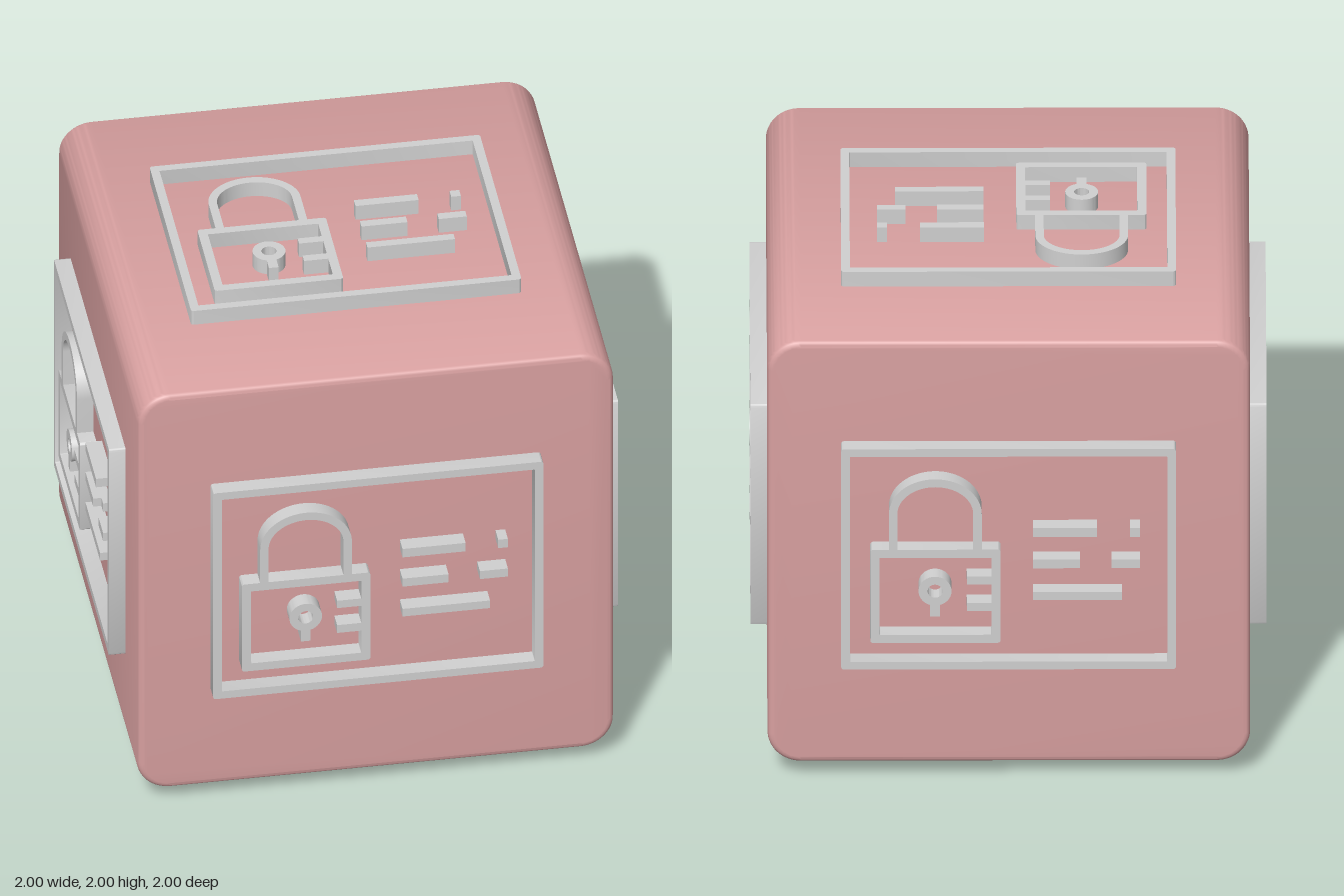
import * as THREE from 'three';
import { toCreasedNormals } from 'three/addons/utils/BufferGeometryUtils.js';

const HALF = 0.935; // half width of the cube body
const BASE = 0.925; // emblems start slightly inside the body
const DEPTH = 1 - BASE;

// Rounded rectangle outline, for a Shape or a Path
function roundedRect(path, x0, y0, x1, y1, r) {
  path.moveTo(x0 + r, y0);
  path.lineTo(x1 - r, y0);
  path.absarc(x1 - r, y0 + r, r, -Math.PI / 2, 0, false);
  path.lineTo(x1, y1 - r);
  path.absarc(x1 - r, y1 - r, r, 0, Math.PI / 2, false);
  path.lineTo(x0 + r, y1);
  path.absarc(x0 + r, y1 - r, r, Math.PI / 2, Math.PI, false);
  path.lineTo(x0, y0 + r);
  path.absarc(x0 + r, y0 + r, r, Math.PI, Math.PI * 1.5, false);
  return path;
}

// Raised plate reaching from the body to the outer emblem level
function raise(shape, curveSegments) {
  const geo = new THREE.ExtrudeGeometry(shape, { depth: DEPTH, bevelEnabled: false, curveSegments });
  geo.translate(0, 0, BASE);
  return toCreasedNormals(geo, 0.6);
}

function border(x0, y0, x1, y1, w) {
  const shape = roundedRect(new THREE.Shape(), x0, y0, x1, y1, 0.012);
  shape.holes.push(roundedRect(new THREE.Path(), x0 + w, y0 + w, x1 - w, y1 - w, 0.003));
  return raise(shape, 4);
}

function bar(x0, y0, x1, y1) {
  const geo = new THREE.BoxGeometry(x1 - x0, y1 - y0, DEPTH);
  return geo.translate((x0 + x1) / 2, (y0 + y1) / 2, BASE + DEPTH / 2);
}

// Arch with straight legs and an elliptical crown
function shackleGeometry() {
  const cx = -0.285, foot = 0.03, spring = 0.206;
  const s = new THREE.Shape();
  s.moveTo(cx + 0.18, foot);
  s.lineTo(cx + 0.18, spring);
  s.absellipse(cx, spring, 0.18, 0.155, 0, Math.PI, false, 0);
  s.lineTo(cx - 0.18, foot);
  s.lineTo(cx - 0.147, foot);
  s.lineTo(cx - 0.147, spring);
  s.absellipse(cx, spring, 0.147, 0.12, Math.PI, 0, true, 0);
  s.lineTo(cx + 0.147, foot);
  return raise(s, 20);
}

function keyholeGeometry() {
  const s = new THREE.Shape();
  s.absarc(-0.286, -0.136, 0.064, 0, Math.PI * 2, false);
  const hole = new THREE.Path();
  hole.absarc(-0.286, -0.136, 0.029, 0, Math.PI * 2, true);
  s.holes.push(hole);
  return raise(s, 24);
}

export function createModel() {
  const pink = new THREE.MeshStandardMaterial({ color: 0xd8a0a0 });
  pink.name = 'dusty pink';
  const grey = new THREE.MeshStandardMaterial({ color: 0xd0d0d0 });
  grey.name = 'light grey';

  const model = new THREE.Group();
  model.name = 'lockCube';

  // Body: rounded square run front to back, with a small bevel at both ends
  const bevel = 0.025, e = HALF - bevel;
  const bodyGeo = new THREE.ExtrudeGeometry(roundedRect(new THREE.Shape(), -e, -e, e, e, 0.105), {
    depth: 2 * e, bevelSize: bevel, bevelThickness: bevel, bevelSegments: 4, curveSegments: 10,
  });
  bodyGeo.translate(0, 0, -e);
  const body = new THREE.Mesh(toCreasedNormals(bodyGeo, 0.6), pink);
  body.name = 'body';
  body.position.y = 1;
  model.add(body);

  // Emblem parts, shared by all six faces
  const parts = [
    ['cardFrame', border(-0.65, -0.484, 0.648, 0.495, 0.034)],
    ['lockBody', border(-0.537, -0.366, -0.032, 0.048, 0.036)],
    ['shackle', shackleGeometry()],
    ['keyhole', keyholeGeometry()],
    ['keyholeStem', bar(-0.305, -0.249, -0.267, -0.192)],
    ['upperNotch', bar(-0.163, -0.107, -0.06, -0.072)],
    ['lowerNotch', bar(-0.163, -0.225, -0.06, -0.188)],
    ['topLine', bar(0.094, 0.104, 0.342, 0.144)],
    ['topDot', bar(0.47, 0.104, 0.508, 0.144)],
    ['middleLine', bar(0.094, -0.035, 0.275, 0.003)],
    ['middleDash', bar(0.398, -0.035, 0.508, 0.003)],
    ['bottomLine', bar(0.094, -0.177, 0.438, -0.141)],
  ];

  const q = Math.PI / 2;
  const faces = [
    ['front', 0, 0], ['right', 0, q], ['back', 0, 2 * q], ['left', 0, -q],
    ['top', -q, 0], ['bottom', q, 0],
  ];
  for (const [side, rx, ry] of faces) {
    const emblem = new THREE.Group();
    emblem.name = side === 'right' ? 'leftEmblem' : side === 'left' ? 'rightEmblem' : side + 'Emblem';
    for (const [name, geo] of parts) {
      const mesh = new THREE.Mesh(geo, grey);
      mesh.name = name;
      emblem.add(mesh);
    }
    emblem.rotation.set(rx, ry, 0);
    emblem.position.y = 1;
    model.add(emblem);
  }
  return model;
}
